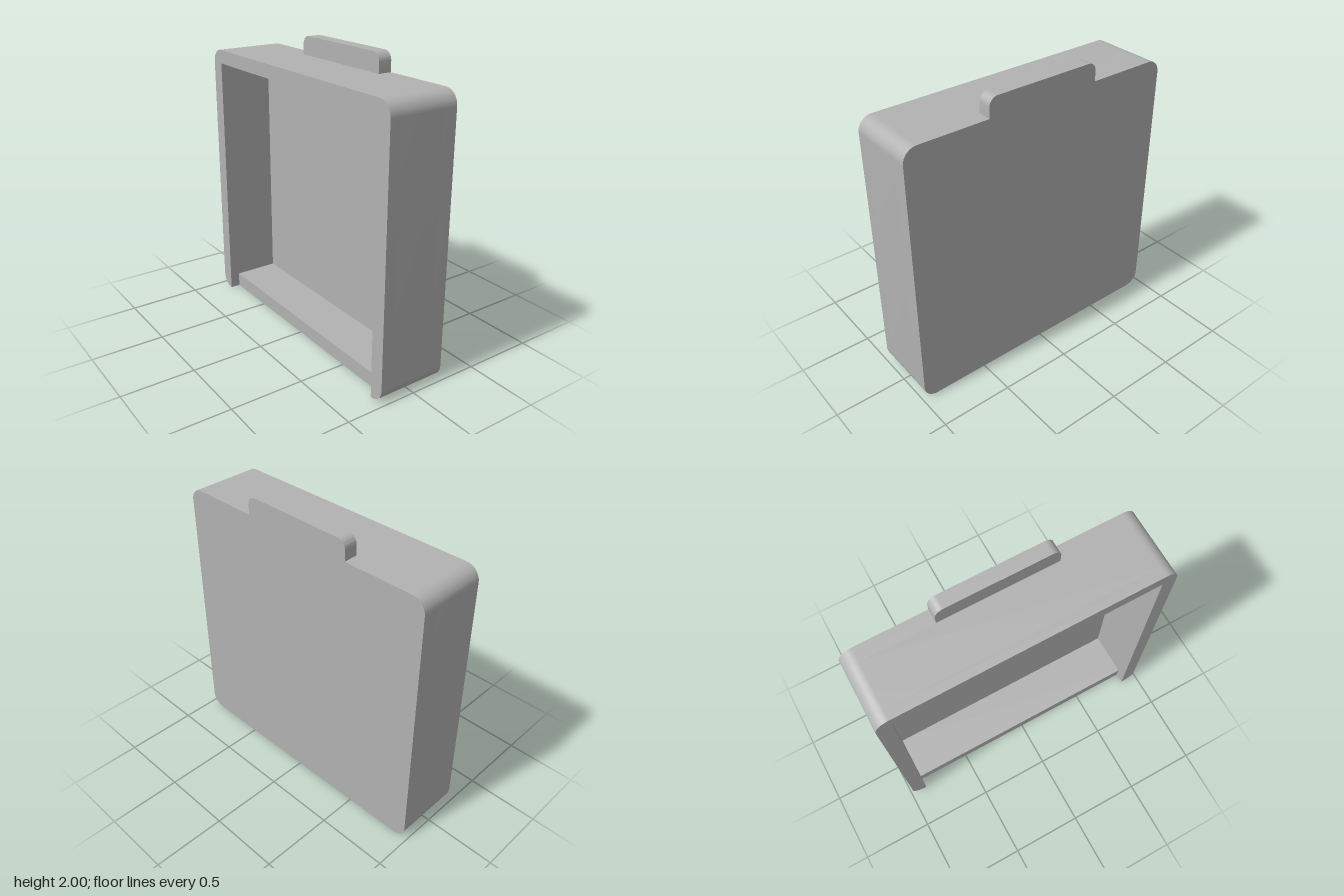
import * as THREE from 'three';
import { toCreasedNormals } from 'three/addons/utils/BufferGeometryUtils.js';

const HALF_W = 0.98, TOP = 1.87, R = 0.095;   // case outline
const IN_W = 0.88, IN_TOP = 1.775, FLOOR = 0.1; // inner opening
const BACK = -0.24, PLATE = -0.145, LEDGE = 0.17, FRONT = 0.24; // depth steps
const TAB_W = 0.405, TAB_TOP = 2, TAB_R = 0.06;

export function createModel() {
  const group = new THREE.Group();
  group.name = 'openCase';

  const grey = new THREE.MeshStandardMaterial({ color: 0xb2b2b2 });
  grey.name = 'grey';

  const addLayer = (name, shape, z0, z1) => {
    const geo = new THREE.ExtrudeGeometry(shape, { depth: z1 - z0, bevelEnabled: false, curveSegments: 12 });
    geo.translate(0, 0, z0);
    const mesh = new THREE.Mesh(toCreasedNormals(geo, 0.5), grey);
    mesh.name = name;
    group.add(mesh);
  };

  // Rounded case outline, optionally with the hanging tab or the open bottom slot
  const outline = ({ tab = false, slot = false } = {}) => {
    const s = new THREE.Shape();
    if (slot) {
      s.moveTo(-IN_W, 0);
      s.lineTo(-IN_W, IN_TOP);
      s.lineTo(IN_W, IN_TOP);
      s.lineTo(IN_W, 0);
    } else {
      s.moveTo(-HALF_W + R, 0);
    }
    s.lineTo(HALF_W - R, 0);
    s.absarc(HALF_W - R, R, R, -Math.PI / 2, 0);
    s.lineTo(HALF_W, TOP - R);
    s.absarc(HALF_W - R, TOP - R, R, 0, Math.PI / 2);
    if (tab) {
      s.lineTo(TAB_W, TOP);
      s.absarc(TAB_W - TAB_R, TAB_TOP - TAB_R, TAB_R, 0, Math.PI / 2);
      s.absarc(-TAB_W + TAB_R, TAB_TOP - TAB_R, TAB_R, Math.PI / 2, Math.PI);
      s.lineTo(-TAB_W, TOP);
    }
    s.absarc(-HALF_W + R, TOP - R, R, Math.PI / 2, Math.PI);
    s.lineTo(-HALF_W, R);
    s.absarc(-HALF_W + R, R, R, Math.PI, Math.PI * 1.5);
    s.closePath();
    return s;
  };

  // Back panel with tab
  addLayer('backPanelWithTab', outline({ tab: true }), BACK, PLATE);

  // Closed wall frame around the tray
  const frame = outline();
  frame.holes.push(new THREE.Path([
    new THREE.Vector2(-IN_W, FLOOR),
    new THREE.Vector2(-IN_W, IN_TOP),
    new THREE.Vector2(IN_W, IN_TOP),
    new THREE.Vector2(IN_W, FLOOR),
  ]));
  addLayer('wallFrame', frame, PLATE, LEDGE);

  // Front rim, open at the bottom
  addLayer('frontRim', outline({ slot: true }), LEDGE, FRONT);

  return group;
}
